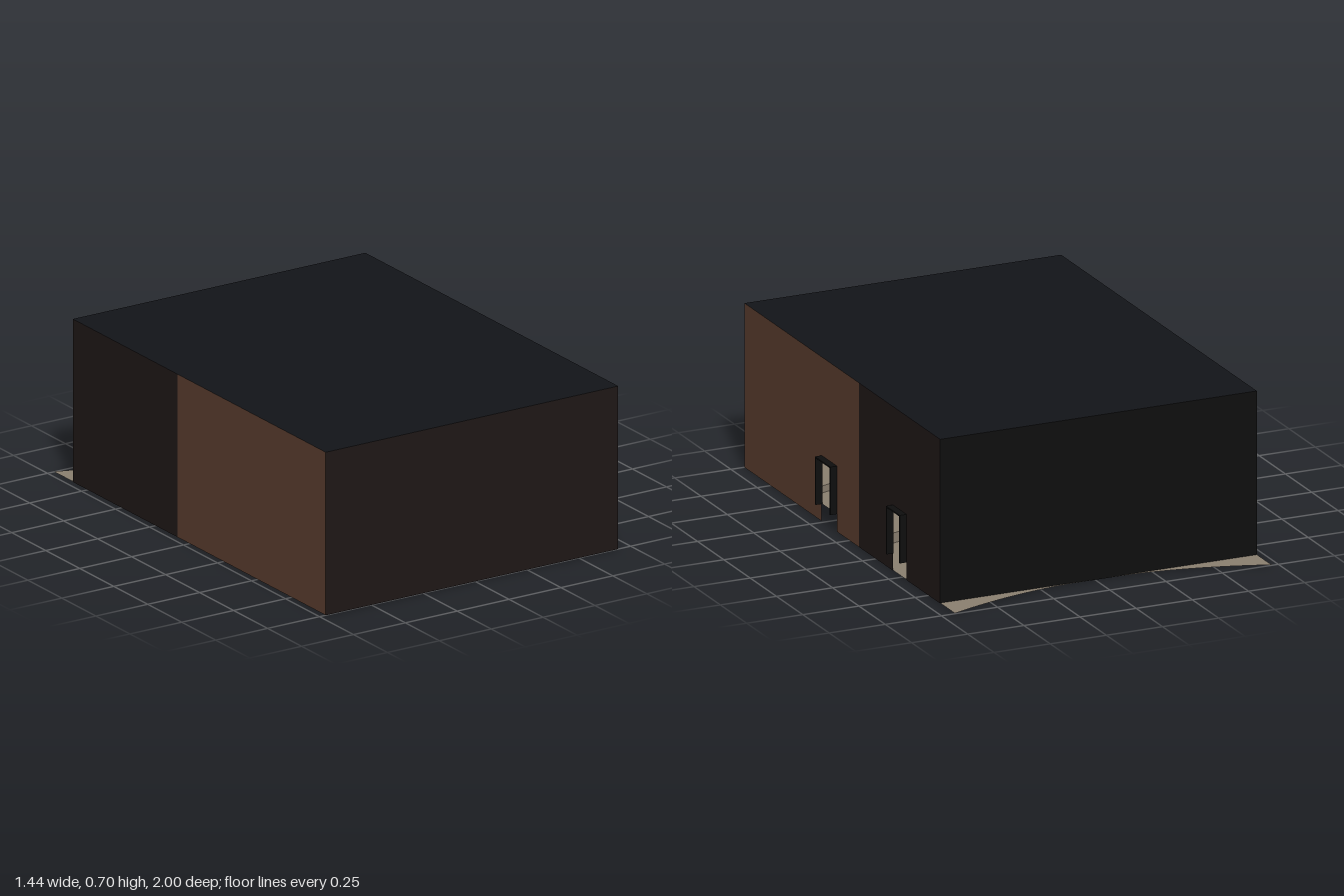
import * as THREE from 'three';

const L = -0.72, R = 0.69, BACK = -0.86, FRONT = 1, H = 0.7, SPLIT = -0.09;
const DOORS = [[0.12, 0.265], [-0.54, -0.41]];
const DOOR_TOP = 0.28;

const material = (color, flat = false) => {
  const m = new THREE.MeshStandardMaterial({ side: THREE.DoubleSide, flatShading: flat });
  m.color.set(color);
  return m;
};
const brown = material(0x573b2d);
const darkBrown = material(0x1e1716);
const black = material(0x0e0e0e);
const roofPaint = material(0x121418);
const carpet = material(0x897e6f, true);

function add(group, name, geometry, mat, x = 0, y = 0, z = 0) {
  const mesh = new THREE.Mesh(geometry, mat);
  mesh.name = name;
  mesh.position.set(x, y, z);
  group.add(mesh);
  return mesh;
}

// Side wall panel between two depths, with door notches open to the ground
function sidePanel(z0, z1, doors) {
  const s = new THREE.Shape();
  s.moveTo(-z0, 0);
  s.lineTo(-z0, H);
  s.lineTo(-z1, H);
  s.lineTo(-z1, 0);
  for (const [a, b] of [...doors].sort((p, q) => q[0] - p[0])) {
    s.lineTo(-b, 0);
    s.lineTo(-b, DOOR_TOP);
    s.lineTo(-a, DOOR_TOP);
    s.lineTo(-a, 0);
  }
  return new THREE.ShapeGeometry(s).rotateY(Math.PI / 2);
}

// Raked floor: a stepped profile swept along a shallow arc
const bow = x => -0.14 * (x / 0.705) ** 2;
const RISERS = [[-0.02, 0.045], [0.25, 0.075], [0.5, 0.105], [0.75, 0.135]];
function floorGeometry() {
  const profile = [[BACK, 0.002]];
  let y = 0.002;
  for (const [z, top] of RISERS) {
    profile.push([z, y], [z, top]);
    y = top;
  }
  profile.push([FRONT - 0.002, y]);
  const n = 32, pos = [], idx = [], m = profile.length;
  for (let i = 0; i <= n; i++) {
    const x = L + (R - L) * i / n;
    for (const [z, h] of profile) pos.push(x, h, z + bow(x + 0.015));
  }
  for (let i = 0; i < n; i++) {
    for (let j = 0; j < m - 1; j++) {
      const a = i * m + j, b = a + m;
      idx.push(a, a + 1, b, b, a + 1, b + 1);
    }
  }
  const g = new THREE.BufferGeometry();
  g.setAttribute('position', new THREE.Float32BufferAttribute(pos, 3));
  g.setIndex(idx);
  g.computeVertexNormals();
  return g;
}

export function createModel() {
  const model = new THREE.Group();
  model.name = 'auditorium';
  const cx = (L + R) / 2, cz = (BACK + FRONT) / 2, W = R - L, D = FRONT - BACK;

  // Shell
  add(model, 'roof', new THREE.PlaneGeometry(W, D).rotateX(-Math.PI / 2), roofPaint, cx, H, cz);
  add(model, 'frontWall', new THREE.PlaneGeometry(W, H), darkBrown, cx, H / 2, FRONT);
  add(model, 'backWall', new THREE.PlaneGeometry(W, H).rotateY(Math.PI), black, cx, H / 2, BACK);
  add(model, 'leftWallFront', sidePanel(SPLIT, FRONT, [DOORS[0]]), brown, R);
  add(model, 'leftWallBack', sidePanel(BACK, SPLIT, [DOORS[1]]), darkBrown, R);
  add(model, 'rightWallFront', sidePanel(SPLIT, FRONT, []), brown, L);
  add(model, 'rightWallBack', sidePanel(BACK, SPLIT, []), darkBrown, L);

  // Stepped floor with half steps in the aisles
  add(model, 'tieredFloor', floorGeometry(), carpet);
  let low = 0;
  for (const [z, top] of RISERS) {
    const h = (top - low) / 2;
    for (const x of [-0.5, -0.02, 0.46]) {
      add(model, 'aisleStep', new THREE.BoxGeometry(0.1, h, 0.07), carpet, x, low + h / 2, z + bow(x) - 0.03);
    }
    low = top;
  }

  // Open door casings standing out from the wall
  const t = 0.006, y0 = 0.075, depth = 0.03;
  for (const [a, b] of DOORS) {
    const casing = new THREE.Group();
    casing.name = 'doorCasing';
    const x = R + depth / 2;
    for (const z of [a + t / 2, b - t / 2]) {
      add(casing, 'doorJamb', new THREE.BoxGeometry(depth, DOOR_TOP - y0, t), black, x, (DOOR_TOP + y0) / 2, z);
    }
    add(casing, 'doorHead', new THREE.BoxGeometry(depth, t, b - a), black, x, DOOR_TOP - t / 2, (a + b) / 2);
    model.add(casing);
  }
  return model;
}
